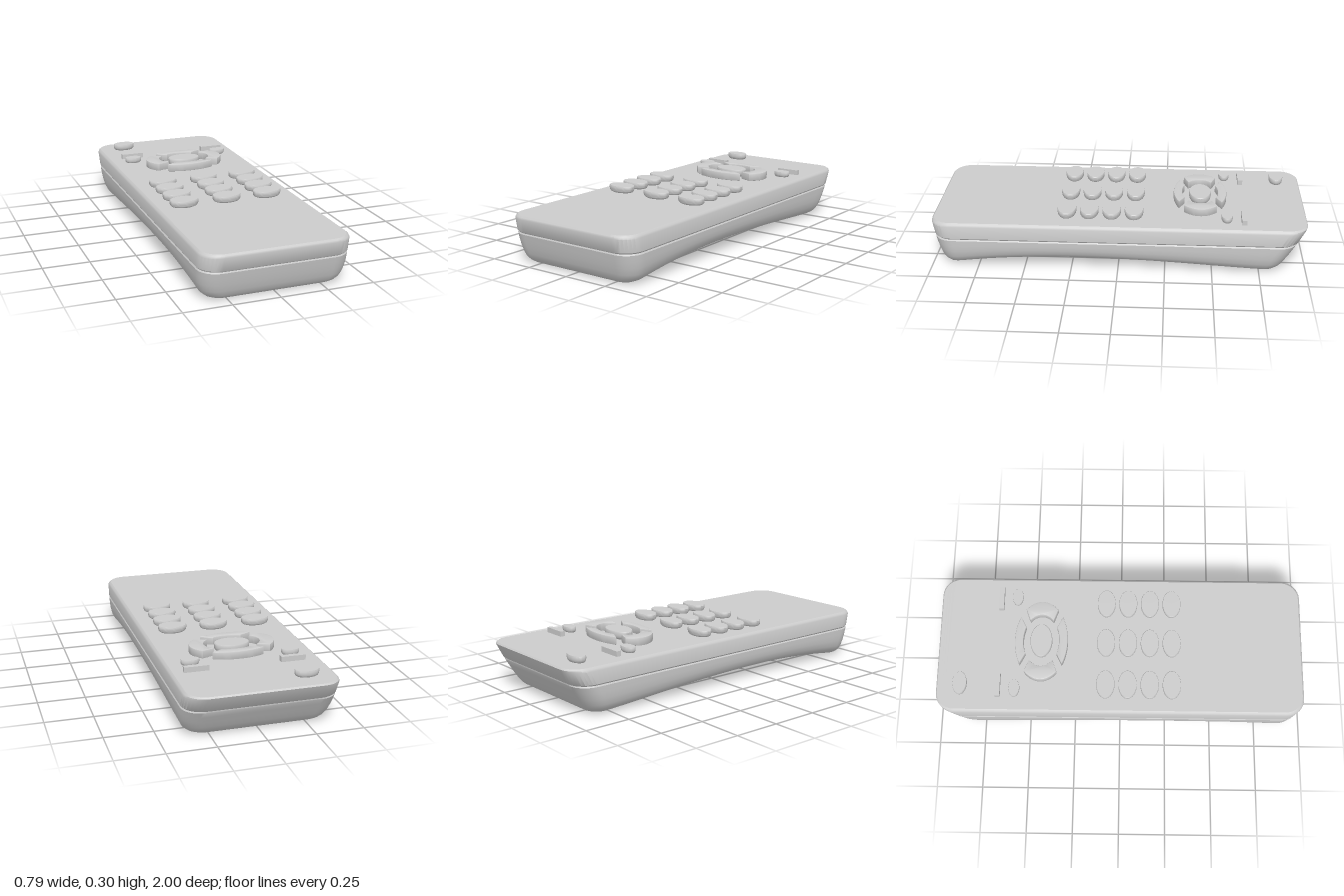
import * as THREE from 'three';
import { toCreasedNormals } from 'three/addons/utils/BufferGeometryUtils.js';

const material = new THREE.MeshStandardMaterial({ color: 0xcccccc });
const TOP = 0.258;

// Height of the arched underside along the length
function arch(z) {
  const u = z > 0.25 ? (z - 0.25) / 0.65 : (0.25 - z) / 1.07;
  return 0.05 * Math.pow(Math.max(0, 1 - u * u), z > 0.25 ? 1 : 1.5);
}

// Closed rounded-rectangle ring, ordered front -> right side -> back, then mirrored
function ring([y, halfWidth, front, back, radius]) {
  const half = [], arcSteps = 8, sideSteps = 28;
  const corner = (cz, start) => {
    for (let i = 0; i <= arcSteps; i++) {
      const a = start + (i / arcSteps) * Math.PI / 2;
      half.push([halfWidth - radius + radius * Math.sin(a), cz + radius * Math.cos(a)]);
    }
  };
  corner(front - radius, 0);
  for (let i = 1; i < sideSteps; i++) {
    half.push([halfWidth, THREE.MathUtils.lerp(front - radius, back + radius, i / sideSteps)]);
  }
  corner(back + radius, Math.PI / 2);
  const mirrored = half.map(([x, z]) => [-x, z]).reverse();
  const lift = Math.max(0, 1 - y / 0.16);
  return [...half, ...mirrored].map(([x, z]) => [x, y + arch(z) * lift, z]);
}

function bodyGeometry() {
  // height, half width, front z, back z, corner radius
  const levels = [
    [0.000, 0.310, 0.895, -0.815, 0.06],
    [0.004, 0.335, 0.918, -0.840, 0.075],
    [0.014, 0.354, 0.934, -0.857, 0.085],
    [0.030, 0.370, 0.946, -0.872, 0.09],
    [0.055, 0.382, 0.957, -0.889, 0.095],
    [0.090, 0.390, 0.968, -0.911, 0.1],
    [0.125, 0.393, 0.977, -0.931, 0.1],
    [0.158, 0.394, 0.984, -0.951, 0.1],
    [0.165, 0.389, 0.981, -0.951, 0.1],
    [0.172, 0.394, 0.987, -0.959, 0.1],
    [0.240, 0.394, 1.000, -0.995, 0.1],
    [0.250, 0.389, 0.998, -1.000, 0.1],
    [TOP, 0.379, 0.990, -0.994, 0.095],
  ];
  const rings = levels.map(ring), n = rings[0].length, index = [];
  const quad = (a, b, c, d) => index.push(a, b, c, a, c, d);
  for (let k = 0; k < rings.length - 1; k++) {
    for (let i = 0; i < n; i++) {
      const j = (i + 1) % n;
      quad(k * n + i, k * n + j, (k + 1) * n + j, (k + 1) * n + i);
    }
  }
  // Caps run across from each point to its mirror
  const last = (rings.length - 1) * n;
  for (let i = 0; i < n / 2 - 1; i++) {
    quad(last + i, last + i + 1, last + n - 2 - i, last + n - 1 - i);
    quad(n - 1 - i, n - 2 - i, i + 1, i);
  }
  const g = new THREE.BufferGeometry();
  g.setAttribute('position', new THREE.Float32BufferAttribute(rings.flat(2), 3));
  g.setIndex(index);
  return toCreasedNormals(g, 0.6);
}

// Oval key: flat top with a fine edge, rounded in towards its base
function ovalKey(name, x, z, rx, rz, height) {
  const profile = [[0.8, 0], [0.9, 0.1], [0.97, 0.28], [1, 0.5], [1, 0.88], [0.96, 1], [0, 1]]
    .map(([r, y]) => new THREE.Vector2(r, y));
  const g = new THREE.LatheGeometry(profile, 40);
  g.scale(rx, height, rz);
  const mesh = new THREE.Mesh(toCreasedNormals(g, 0.6), material);
  mesh.name = name;
  mesh.position.set(x, TOP, z);
  return mesh;
}

// Curved key: a slice of an elliptical band around the centre key
function arcKey(name, x, z, angle, outerHalf, innerHalf) {
  const bevel = 0.006, steps = 16, points = [];
  const add = (rx, rz, from, to) => {
    for (let i = 0; i <= steps; i++) {
      const a = THREE.MathUtils.degToRad(angle + THREE.MathUtils.lerp(from, to, i / steps));
      points.push(new THREE.Vector2(rx * Math.cos(a), rz * Math.sin(a)));
    }
  };
  add(0.225, 0.142, -outerHalf, outerHalf);
  add(0.152, 0.101, innerHalf, -innerHalf);
  const g = new THREE.ExtrudeGeometry(new THREE.Shape(points), {
    depth: 0.044 - 2 * bevel, bevelEnabled: true, bevelThickness: bevel,
    bevelSize: bevel, bevelOffset: -bevel / 2, bevelSegments: 2,
  });
  g.translate(0, 0, bevel);
  g.rotateX(-Math.PI / 2);
  const mesh = new THREE.Mesh(toCreasedNormals(g, 0.6), material);
  mesh.name = name;
  mesh.position.set(x, TOP, z);
  return mesh;
}

export function createModel() {
  const model = new THREE.Group();
  model.name = 'remoteControl';

  const body = new THREE.Mesh(bodyGeometry(), material);
  body.name = 'body';
  model.add(body);

  // Number pad
  const numberPad = new THREE.Group();
  numberPad.name = 'numberPad';
  for (const z of [-0.08, 0.04, 0.16, 0.28]) {
    for (const x of [-0.24, 0, 0.232]) numberPad.add(ovalKey('numberKey', x, z, 0.078, 0.05, 0.037));
  }
  model.add(numberPad);

  // Navigation pad
  const cx = 0.006, cz = -0.435;
  const navigation = new THREE.Group();
  navigation.name = 'navigationPad';
  navigation.add(
    ovalKey('centreKey', cx, cz, 0.094, 0.06, 0.044),
    arcKey('leftKey', cx, cz, 0, 37, 39),
    arcKey('upKey', cx, cz, 90, 36, 30),
    arcKey('rightKey', cx, cz, 180, 37, 39),
    arcKey('downKey', cx, cz, 270, 36, 30),
  );
  model.add(navigation);

  // Power key, small keys and bar keys
  model.add(ovalKey('powerKey', -0.24, -0.87, 0.063, 0.039, 0.035));
  for (const x of [-0.265, 0.268]) model.add(ovalKey('smallKey', x, -0.575, 0.048, 0.03, 0.03));
  for (const x of [-0.245, 0.26]) {
    const bar = new THREE.Mesh(new THREE.BoxGeometry(0.13, 0.03, 0.027), material);
    bar.name = 'barKey';
    bar.position.set(x, TOP + 0.013, -0.665);
    model.add(bar);
  }
  return model;
}
